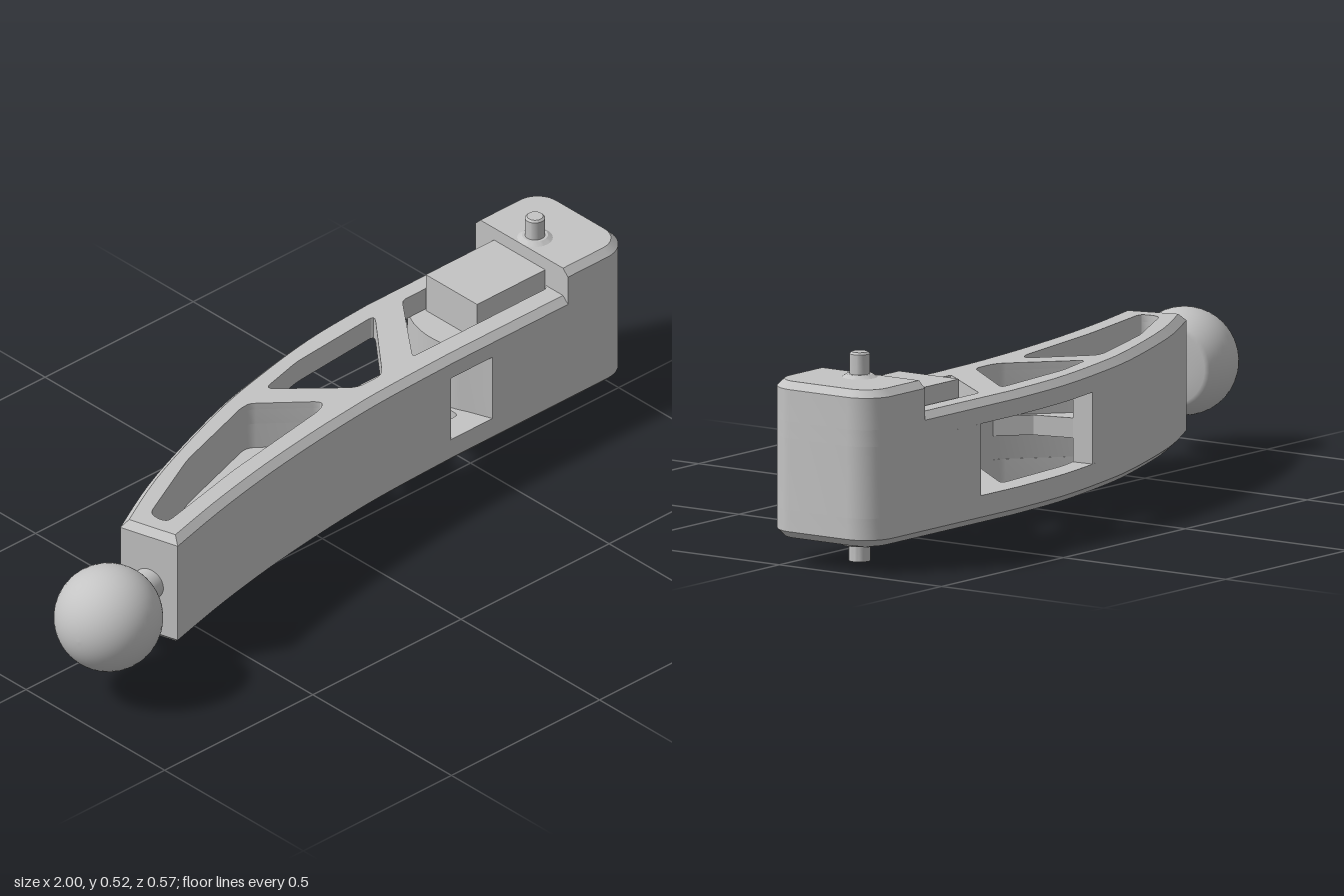
import * as THREE from 'three';
import { toCreasedNormals } from 'three/addons/utils/BufferGeometryUtils.js';

const V = (x, z) => new THREE.Vector2(x, -z); // plan point, z toward the front
const CH = 0.018; // chamfer on the outer edges

// Polygon with rounded corners
function rounded(pts, r) {
  const p = pts.map(([x, z]) => V(x, z)), out = [];
  p.forEach((c, i) => {
    const a = p[(i + p.length - 1) % p.length], b = p[(i + 1) % p.length];
    const toward = (q) => c.clone().add(q.clone().sub(c).setLength(Math.min(r, q.distanceTo(c) * 0.45)));
    out.push(...new THREE.QuadraticBezierCurve(toward(a), c, toward(b)).getPoints(4));
  });
  return out;
}

// Arc in plan, angles in degrees
function arc(cx, cz, r, from, to, n = 10) {
  return Array.from({ length: n + 1 }, (_, i) => {
    const a = THREE.MathUtils.degToRad(from + (to - from) * i / n);
    return V(cx + r * Math.cos(a), cz + r * Math.sin(a));
  });
}

// Move each corner of a counter-clockwise outline inward by d
function inset(pts, d) {
  const n = pts.length;
  const normal = (a, b) => {
    const e = b.clone().sub(a).normalize();
    return new THREE.Vector2(-e.y, e.x);
  };
  return pts.map((p, i) => {
    const n1 = normal(pts[(i + n - 1) % n], p), n2 = normal(p, pts[(i + 1) % n]);
    return p.clone().add(n1.clone().add(n2).multiplyScalar(d / (1 + n1.dot(n2))));
  });
}

// Flat layer from y0 to y1; the outer edge may be inset at the bottom or top
function layer(y0, y1, outline, holes = [], in0 = 0, in1 = 0) {
  const pts = outline.filter((p, i) => p.distanceTo(outline[(i + 1) % outline.length]) > 1e-4);
  if (THREE.ShapeUtils.isClockWise(pts)) pts.reverse();
  const shape = new THREE.Shape(pts);
  shape.holes = holes.map((h) => new THREE.Path(h));
  const geo = new THREE.ExtrudeGeometry(shape, { depth: y1 - y0, bevelEnabled: false });
  const pos = geo.attributes.position, low = inset(pts, in0), high = inset(pts, in1);
  for (let i = 0; i < pos.count; i++) {
    const k = pts.findIndex((p) => Math.hypot(p.x - pos.getX(i), p.y - pos.getY(i)) < 1e-5);
    if (k < 0) continue;
    const q = pos.getZ(i) > (y1 - y0) / 2 ? high[k] : low[k];
    pos.setXY(i, q.x, q.y);
  }
  geo.rotateX(-Math.PI / 2).translate(0, y0, 0);
  return toCreasedNormals(geo, 0.45);
}

export function createModel() {
  const model = new THREE.Group();
  const grey = new THREE.MeshStandardMaterial({ color: 0xc4c4c4 });
  grey.name = 'grey';
  const add = (name, geo, parent = model) => {
    const m = new THREE.Mesh(geo, grey);
    m.name = name;
    parent.add(m);
    return m;
  };
  const box = (name, x0, x1, y0, y1, z0, z1) => add(name,
    new THREE.BoxGeometry(x1 - x0, y1 - y0, z1 - z0).translate((x0 + x1) / 2, (y0 + y1) / 2, (z0 + z1) / 2));
  const lathe = (name, pts, segments = 32) => add(name, toCreasedNormals(
    new THREE.LatheGeometry(pts.map(([r, y]) => new THREE.Vector2(r, y)), segments), 0.45));

  // Plan outline of the curved arm
  const spline = (pts) => new THREE.SplineCurve(pts.map(([x, z]) => V(x, z))).getPoints(28);
  const back = spline([[-0.71, 0.03], [-0.5, -0.075], [-0.2, -0.185], [0, -0.236], [0.2, -0.272], [0.4, -0.287]]);
  const front = spline([[0.4, 0.047], [0.1, 0.058], [-0.2, 0.092], [-0.45, 0.137], [-0.665, 0.189]]);
  const end = [...arc(0.92, -0.207, 0.08, -90, 0), ...arc(0.92, -0.033, 0.08, 0, 90)];
  const outline = [...back, ...end, ...front];

  // Openings between the struts
  const longPocket = rounded([[-0.635, 0.055], [-0.4, -0.06], [-0.12, -0.148], [0.025, -0.025],
    [0.0, -0.003], [-0.35, 0.052], [-0.63, 0.112]], 0.025);
  const midPocket = rounded([[-0.04, -0.165], [0.1, -0.2], [0.385, -0.222], [0.215, -0.013], [0.13, -0.013]], 0.025);
  const topRecess = rounded([[0.48, -0.225], [0.782, -0.225], [0.782, -0.022], [0.325, -0.022]], 0.014);
  const bottomPocket = rounded([[0.48, -0.225], [0.48, -0.022], [0.325, -0.022]], 0.014);

  // Top and bottom frames with chamfered rims
  const topHoles = [longPocket, midPocket, topRecess];
  const bottomHoles = [longPocket, midPocket, bottomPocket];
  add('topFrame', layer(0.32, 0.362, outline, topHoles));
  add('topFrameChamfer', layer(0.362, 0.38, outline, topHoles, 0, CH));
  add('bottomFrame', layer(0.086, 0.14, outline, bottomHoles));
  add('bottomFrameChamfer', layer(0.068, 0.086, outline, bottomHoles, CH, 0));

  // Middle of the arm, leaving the side windows open
  const leftSide = [
    ...back.filter((p) => p.x < 0.02), V(0.04, -0.244), V(0.045, -0.187), V(-0.02, -0.17), V(-0.03, -0.155),
    V(0.12, -0.02), V(0.14, -0.013), V(0.39, -0.013), V(0.39, 0.047), ...front.filter((p) => p.x < 0.38)];
  add('armMiddle', layer(0.14, 0.32, leftSide, [longPocket]));
  add('longPocketWeb', layer(0.2, 0.25, longPocket));
  add('midPocketWeb', layer(0.2, 0.25,
    [V(0.045, -0.187), V(-0.02, -0.17), V(-0.03, -0.155), V(0.12, -0.02), V(0.14, -0.013), V(0.07, -0.085)]));

  // Solid end with a bulging inner wall
  const bulge = arc(0.7, -0.122, 0.22, 152, 228.6, 16);
  add('endMiddle', layer(0.14, 0.32, [...end, V(0.53, 0.047), ...bulge]));

  // Raised end block, chamfered on all sides but the inner one
  const blockOutline = [V(0.785, -0.287), ...end, V(0.785, 0.047)];
  add('endBlock', layer(0.362, 0.442, blockOutline));
  const blockTop = layer(0.442, 0.46, blockOutline, [], 0, CH);
  const pos = blockTop.attributes.position;
  for (let i = 0; i < pos.count; i++) if (pos.getX(i) < 0.81) pos.setX(i, 0.785);
  add('endBlockChamfer', toCreasedNormals(blockTop, 0.45));

  // Insert showing above and below the arm
  box('topInsert', 0.555, 0.787, 0.32, 0.425, -0.22, -0.035);
  box('bottomPlate', 0.555, 0.92, 0.054, 0.07, -0.21, -0.03);

  // Pivot pins with collars
  lathe('topPin', [[0.044, 0.455], [0.044, 0.46], [0.032, 0.468], [0.025, 0.468], [0.025, 0.518],
    [0.02, 0.523], [0, 0.523]]).position.set(0.83, 0, -0.12);
  lathe('bottomPin', [[0, 0], [0.027, 0], [0.027, 0.041], [0.046, 0.041], [0.059, 0.05], [0.059, 0.056]])
    .position.set(0.83, 0, -0.12);

  // Ball with a softly flattened side, on a short neck
  const joint = new THREE.Group();
  joint.name = 'ballJoint';
  const profile = Array.from({ length: 25 }, (_, i) => {
    const a = -Math.PI / 2 + (Math.PI / 2 + 0.79) * i / 24;
    return new THREE.Vector2(Math.max(0, 0.135 * Math.cos(a)), 0.135 * Math.sin(a));
  });
  profile.push(new THREE.Vector2(0.04, 0.096), new THREE.Vector2(0, 0.096));
  add('ball', new THREE.LatheGeometry(profile, 40), joint);
  add('neck', new THREE.CylinderGeometry(0.042, 0.042, 0.13, 32).translate(0, 0.15, 0), joint);
  joint.position.set(-0.865, 0.225, 0.153);
  joint.quaternion.setFromUnitVectors(new THREE.Vector3(0, 1, 0), new THREE.Vector3(0.97, 0, -0.24).normalize());
  model.add(joint);

  return model;
}
